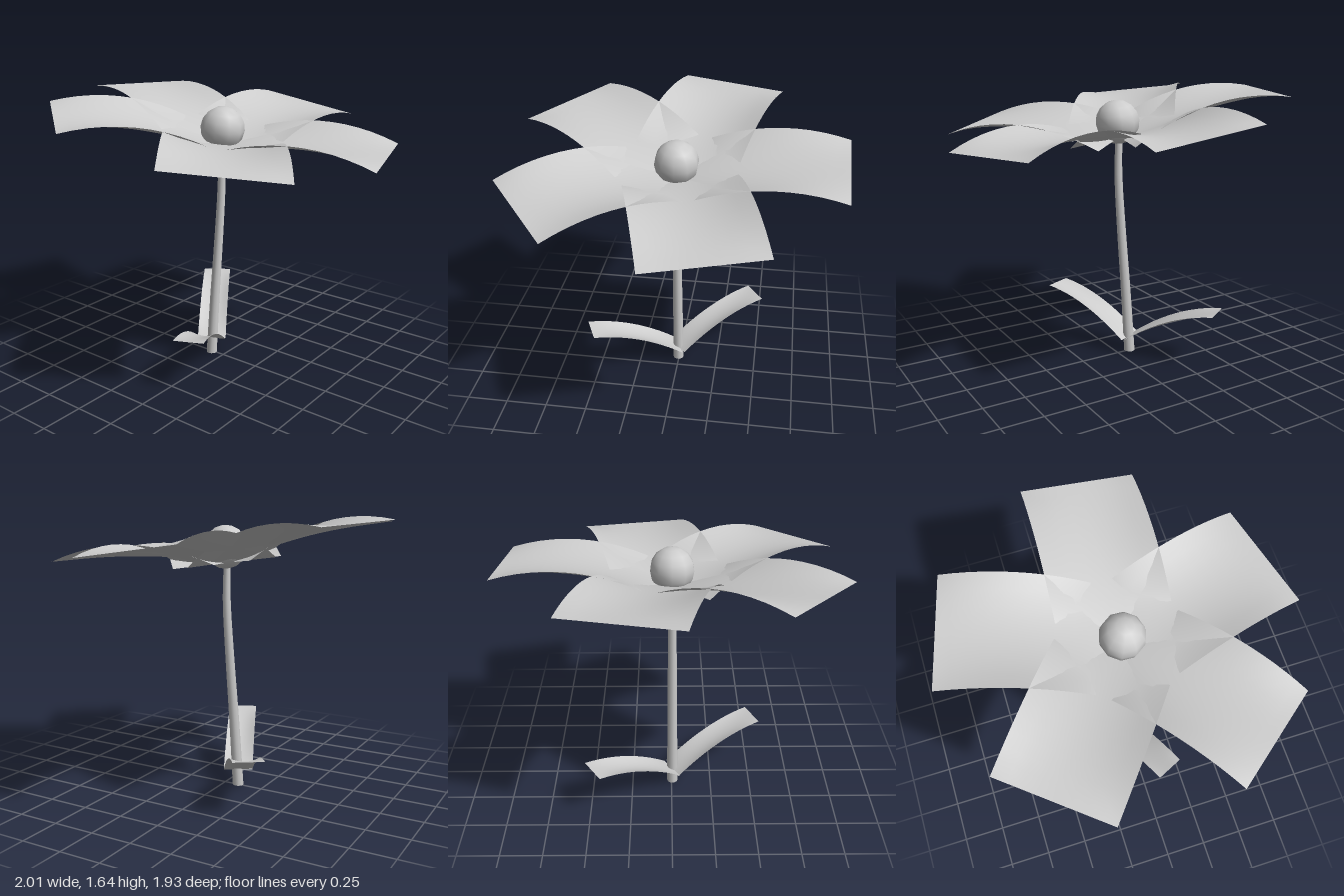
import * as THREE from 'three';

// Rectangular blade along +x: its long edges follow a height rule (t runs 0..1),
// and its middle sags below them, fading out at both ends
function blade(length, width, sag, height) {
  const g = new THREE.PlaneGeometry(length, width, 12, 8);
  g.rotateX(-Math.PI / 2);
  g.translate(length / 2, 0, 0);
  const p = g.attributes.position;
  for (let i = 0; i < p.count; i++) {
    const t = p.getX(i) / length;
    const w = p.getZ(i) / (width / 2);
    p.setY(i, height(t) - sag * 4 * t * (1 - t) * (1 - w * w));
  }
  g.computeVertexNormals();
  return g;
}

export function createModel() {
  const model = new THREE.Group();
  model.name = 'flower';
  const grey = new THREE.MeshStandardMaterial({ color: 0xcccccc, side: THREE.DoubleSide });
  grey.name = 'pale grey';

  const add = (parent, name, geometry) => {
    const mesh = new THREE.Mesh(geometry, grey);
    mesh.name = name;
    parent.add(mesh);
    return mesh;
  };

  // Stem: tapered cylinder bent along a gentle curve
  const path = new THREE.CatmullRomCurve3([
    [-0.088, 0], [-0.06, 0.4], [-0.028, 0.8], [-0.006, 1.15], [-0.01, 1.38],
  ].map(([x, y]) => new THREE.Vector3(x, y, 0.005)));
  const stem = new THREE.CylinderGeometry(0.021, 0.034, 1, 10, 12);
  stem.translate(0, 0.5, 0);
  const p = stem.attributes.position;
  for (let i = 0; i < p.count; i++) {
    const c = path.getPoint(p.getY(i));
    p.setXYZ(i, p.getX(i) + c.x, c.y, p.getZ(i) + c.z);
  }
  add(model, 'stem', stem);

  // Two arching, cupped leaves at the foot of the stem
  const leaf = blade(0.575, 0.178, 0.025, t => 0.25 * (1.75 * t - 0.75 * t * t));
  for (const [name, angle] of [['frontLeaf', 65], ['backLeaf', 236]]) {
    const mesh = add(model, name, leaf);
    mesh.position.set(-0.088, 0.095, 0.005);
    mesh.rotation.y = -THREE.MathUtils.degToRad(angle);
  }

  // Flower head, tilted towards +x
  const head = new THREE.Group();
  head.name = 'flowerHead';
  head.position.set(-0.012, 1.367, 0.004);
  head.rotation.z = -0.136;
  model.add(head);

  // Five broad cupped petals, rising from the middle and drooping at the tips
  const petal = blade(0.96, 0.65, 0.075, t => 0.175 * (1 - ((t * 0.95 - 0.62) / 0.62) ** 2));
  [-88, -16, 52, 128, 195].forEach((angle, i) => {
    add(head, 'petal' + (i + 1), petal).rotation.y = -THREE.MathUtils.degToRad(angle);
  });

  // Round centre
  add(head, 'centre', new THREE.SphereGeometry(0.129, 10, 8)).position.y = 0.092;

  return model;
}
